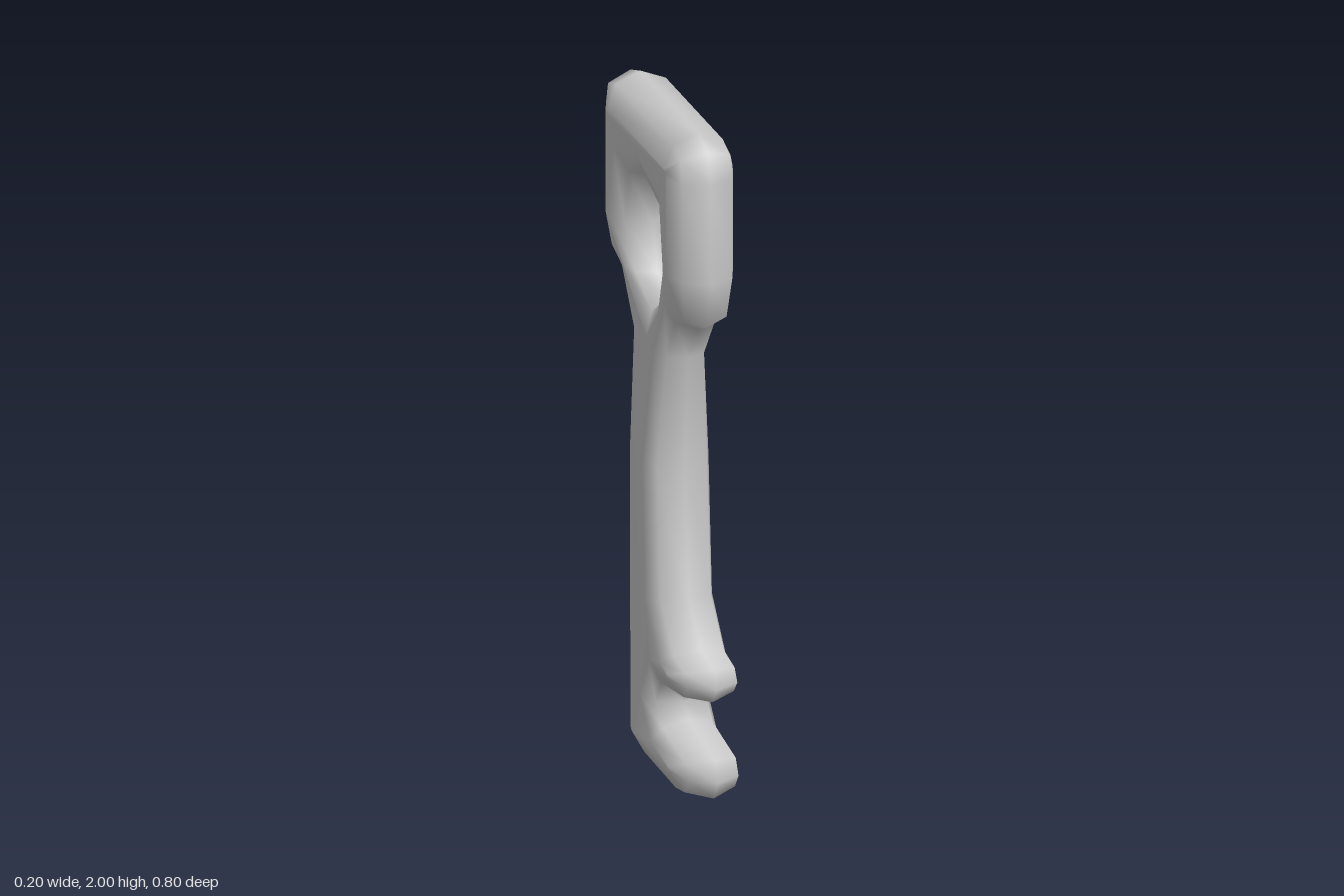
import * as THREE from 'three';

// Each point: rim z, rim y, ridge z, ridge y, half thickness at the ridge
const toothSide = [
  [0.40, 0.08, 0.26, 0.08, 0.1], [0.37, 0.14, 0.25, 0.09, 0.1],
  [0.14, 0.18, 0.10, 0.11, 0.1], [0.10, 0.22, 0.00, 0.22, 0.1],
  [0.14, 0.27, 0.08, 0.35, 0.1], [0.35, 0.31, 0.24, 0.353, 0.1],
  [0.39, 0.36, 0.25, 0.36, 0.1], [0.36, 0.41, 0.24, 0.367, 0.1],
  [0.25, 0.43, 0.17, 0.38, 0.1], [0.14, 0.55, 0.05, 0.52, 0.1],
];
const bowSide = [
  [0.105, 0.93, 0.02, 0.93, 0.1], [0.135, 1.28, 0.05, 1.28, 0.075],
  [0.22, 1.40, 0.16, 1.46, 0.08], [0.31, 1.44, 0.23, 1.49, 0.085],
  [0.335, 1.58, 0.235, 1.58, 0.1], [0.335, 1.88, 0.235, 1.88, 0.1],
  [0.31, 1.97, 0.23, 1.895, 0.1], [0.22, 2.00, 0.215, 1.9, 0.1],
];
const foot = [
  [-0.18, 0.08, -0.08, 0.09, 0.1], [-0.15, 0.03, -0.07, 0.08, 0.1],
  [-0.03, 0.005, -0.03, 0.075, 0.1], [0.25, 0, 0.24, 0.068, 0.1],
  [0.36, 0.02, 0.25, 0.073, 0.1],
];
const holeSide = [
  [0.075, 1.72, 0.17, 1.80, 0.1], [0.11, 1.58, 0.205, 1.58, 0.1],
  [0.07, 1.44, 0.135, 1.45, 0.08],
];

// Mirrors points across the centre line of the bow and reverses their order
const mirror = (pts) =>
  pts.map(([z, y, rz, ry, t]) => [-0.065 - z, y, -0.065 - rz, ry, t]).reverse();

const outline = [...toothSide, ...bowSide, ...mirror(bowSide), ...foot];
const hole = [
  [-0.0325, 1.76, -0.0325, 1.86, 0.1], ...holeSide,
  [-0.0325, 1.40, -0.0325, 1.29, 0.07], ...mirror(holeSide),
];

function keyGeometry() {
  const positions = [];
  const index = [];
  // Layers across the thickness: [blend from rim to ridge, share of half thickness]
  const layers = [[1, 1], [0.3, 0.75], [0, 0], [0.3, -0.75], [1, -1]];

  // Rounded rim around a closed loop; returns the index of its first vertex
  const addRim = (loop) => {
    const start = positions.length / 3;
    const n = loop.length;
    for (const [blend, share] of layers) {
      for (const [z, y, rz, ry, t] of loop) {
        positions.push(t * share, y + (ry - y) * blend, z + (rz - z) * blend);
      }
    }
    for (let k = 0; k < layers.length - 1; k++) {
      for (let i = 0; i < n; i++) {
        const j = (i + 1) % n;
        const a = start + k * n + i, b = start + k * n + j;
        index.push(a, b, b + n, a, b + n, a + n);
      }
    }
    return start;
  };
  const outerStart = addRim(outline);
  const holeStart = addRim(hole);

  // Flat faces between the outer ridge and the ridge around the hole
  const ridge = (loop) => loop.map((p) => new THREE.Vector2(p[2], p[3]));
  const faces = THREE.ShapeUtils.triangulateShape(ridge(outline), [ridge(hole)]);
  const vertex = (i, layer) => i < outline.length
    ? outerStart + layer * outline.length + i
    : holeStart + layer * hole.length + i - outline.length;
  for (const [a, b, c] of faces) {
    index.push(vertex(a, 4), vertex(b, 4), vertex(c, 4));
    index.push(vertex(c, 0), vertex(b, 0), vertex(a, 0));
  }

  const geometry = new THREE.BufferGeometry();
  geometry.setAttribute('position', new THREE.Float32BufferAttribute(positions, 3));
  geometry.setIndex(index);
  geometry.computeVertexNormals();
  return geometry;
}

export function createModel() {
  const group = new THREE.Group();
  group.name = 'key';
  const body = new THREE.Mesh(
    keyGeometry(),
    new THREE.MeshStandardMaterial({ color: 0xcccccc }),
  );
  body.name = 'keyBody';
  group.add(body);
  return group;
}
